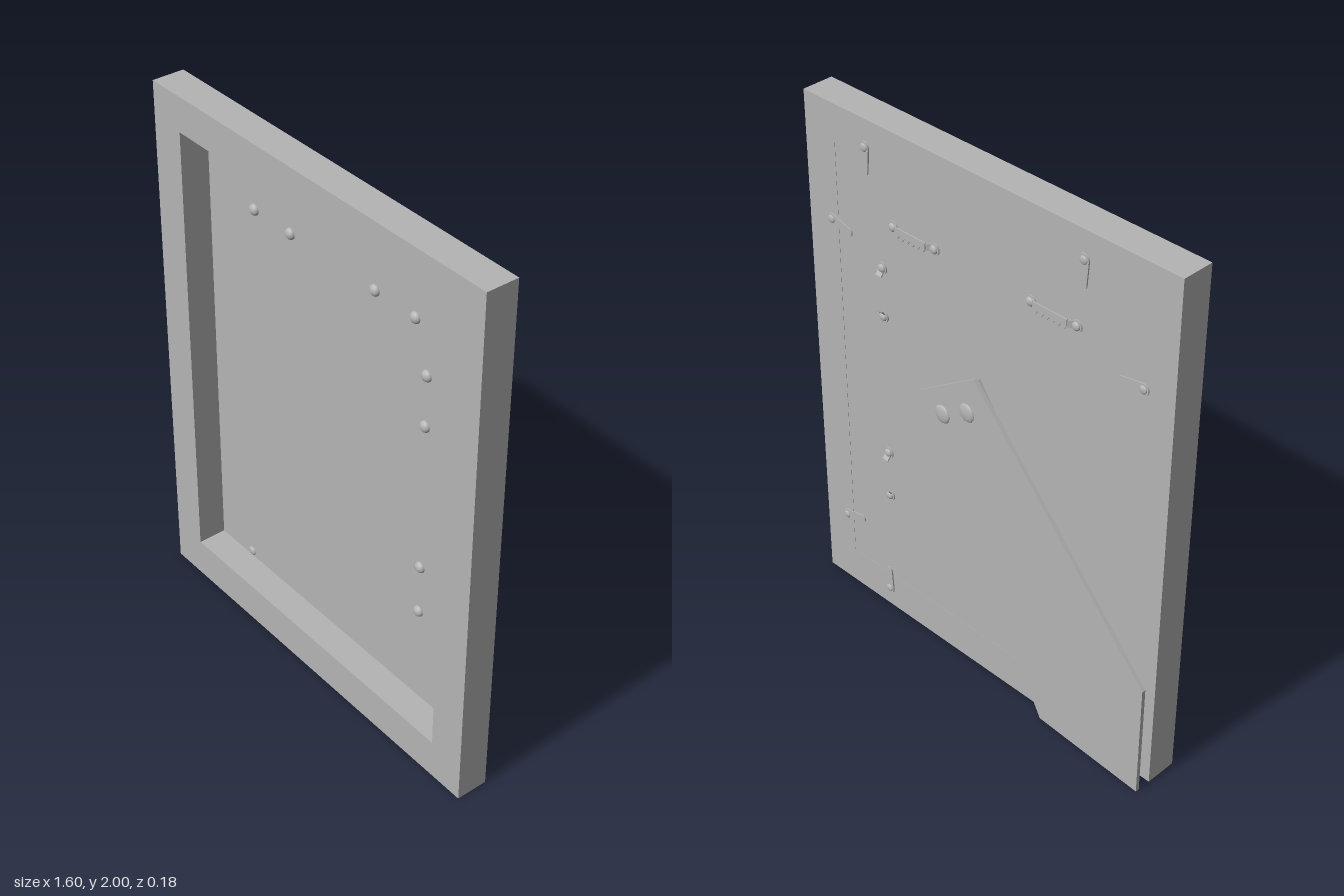
import * as THREE from 'three';

const grey = new THREE.MeshStandardMaterial({ color: 0xb4b4b4 });
grey.name = 'plain grey';

const BACK = -0.03, FRONT = 0.09; // depth of the frame moulding

function part(name, geometry, x = 0, y = 0, z = 0) {
  const mesh = new THREE.Mesh(geometry, grey);
  mesh.name = name;
  mesh.position.set(x, y, z);
  return mesh;
}

function plate(points, depth) {
  const shape = new THREE.Shape(points.map(([x, y]) => new THREE.Vector2(x, y)));
  return new THREE.ExtrudeGeometry(shape, { depth, bevelEnabled: false });
}

// Low dome facing -z (back) or +z (front)
function dome(name, radius, height, x, y, z, facing = -1) {
  const g = new THREE.SphereGeometry(radius, 16, 6, 0, Math.PI * 2, 0, Math.PI / 2);
  g.scale(1, height / radius, 1);
  g.rotateX(facing * Math.PI / 2);
  return part(name, g, x, y, z);
}

// Flat strip with round ends, running down from its screw at the origin
function turnButton(x, y, angle) {
  const g = new THREE.Group();
  g.name = 'turnButton';
  const s = new THREE.Shape();
  s.absarc(0, 0, 0.021, 0, Math.PI, false);
  s.lineTo(-0.015, -0.085);
  s.absarc(0, -0.085, 0.015, Math.PI, Math.PI * 2, false);
  const geo = new THREE.ExtrudeGeometry(s, { depth: 0.005, bevelEnabled: false, curveSegments: 10 });
  g.add(part('buttonStrip', geo, 0, 0, -0.005));
  g.add(dome('buttonScrew', 0.015, 0.006, 0, 0, -0.005));
  g.position.set(x, y, BACK);
  g.rotation.z = angle;
  return g;
}

// Raised sawtooth bar between two riveted feet
function sawtoothHanger(x, y, angle) {
  const g = new THREE.Group();
  g.name = 'sawtoothHanger';
  const bar = [[0.07, 0.018], [-0.07, 0.018], [-0.07, -0.006]];
  const teeth = 6, step = 0.14 / teeth;
  for (let i = 0; i < teeth; i++) {
    bar.push([-0.07 + (i + 0.5) * step, -0.022], [-0.07 + (i + 1) * step, -0.006]);
  }
  g.add(part('toothedBar', plate(bar, 0.005), 0, 0, -0.02));
  for (const side of [-1, 1]) {
    const foot = new THREE.CylinderGeometry(0.022, 0.022, 0.005, 16);
    foot.rotateX(Math.PI / 2);
    g.add(part('hangerFoot', foot, side * 0.095, 0, -0.0025));
    // sloping web from foot up to bar
    const web = new THREE.BoxGeometry(0.026, 0.026, 0.004);
    web.rotateY(side * -0.6);
    g.add(part('hangerWeb', web, side * 0.076, 0.003, -0.011));
    g.add(dome('hangerRivet', 0.016, 0.009, side * 0.095, 0, -0.005));
    // rivet end showing on the inside of the panel
    g.add(dome('rivetEnd', 0.021, 0.016, side * 0.095, 0, 0.012, 1));
  }
  g.position.set(x, y, BACK);
  g.rotation.z = angle;
  return g;
}

export function createModel() {
  const model = new THREE.Group();
  model.name = 'pictureFrame';

  // Four mitred frame members
  const outer = [[-0.8, 0], [0.8, 0], [0.8, 2], [-0.8, 2]];
  const inner = [[-0.66, 0.15], [0.66, 0.15], [0.66, 1.87], [-0.66, 1.87]];
  ['bottomRail', 'leftStile', 'topRail', 'rightStile'].forEach((name, i) => {
    const j = (i + 1) % 4;
    model.add(part(name, plate([outer[i], outer[j], inner[j], inner[i]], FRONT - BACK), 0, 0, BACK));
  });

  // Backing panel set into the opening
  model.add(part('backPanel', new THREE.BoxGeometry(1.32, 1.72, 0.01), 0, 1.01, BACK + 0.006));

  // Turn buttons around the back of the frame
  const quarter = Math.PI / 2;
  model.add(
    turnButton(0.515, 1.9, 0), turnButton(-0.43, 1.9, 0),
    turnButton(0.47, 0.08, Math.PI), turnButton(-0.48, 0.08, Math.PI),
    turnButton(0.69, 1.565, -quarter + 0.2), turnButton(-0.68, 1.565, quarter - 0.1),
    turnButton(0.69, 0.305, -quarter - 0.3), turnButton(-0.68, 0.305, quarter + 0.2)
  );
  model.add(dome('screwEnd', 0.018, 0.008, -0.48, 0.17, -0.019, 1));

  // Hangers for upright and sideways hanging
  model.add(
    sawtoothHanger(0.295, 1.66, 0), sawtoothHanger(-0.315, 1.66, 0),
    sawtoothHanger(0.45, 1.385, -quarter), sawtoothHanger(0.45, 0.625, -quarter)
  );

  // Easel leg: flaring board that leans away towards the lower corner
  const leg = new THREE.Group();
  leg.name = 'easelLeg';
  const outline = [[0.28, 1.08], [0, 1.27], [-0.8, 0.46], [-0.8, 0], [-0.335, 0]];
  leg.add(part('legBoard', plate(outline, 0.014), 0, 0, -0.014));
  for (const [x, y] of [[0.155, 1.05], [0.035, 1.12]]) {
    leg.add(dome('legRivet', 0.035, 0.01, x, y, -0.014));
  }
  leg.position.z = -0.044;
  leg.rotation.y = -0.045;
  model.add(leg);

  // Hinge plate holding the leg's top against the panel
  const hinge = [[0.27, 1.08], [0, 1.26], [-0.09, 1.13], [0.18, 0.95]];
  model.add(part('hingePlate', plate(hinge, 0.014), 0, 0, -0.042));

  return model;
}
